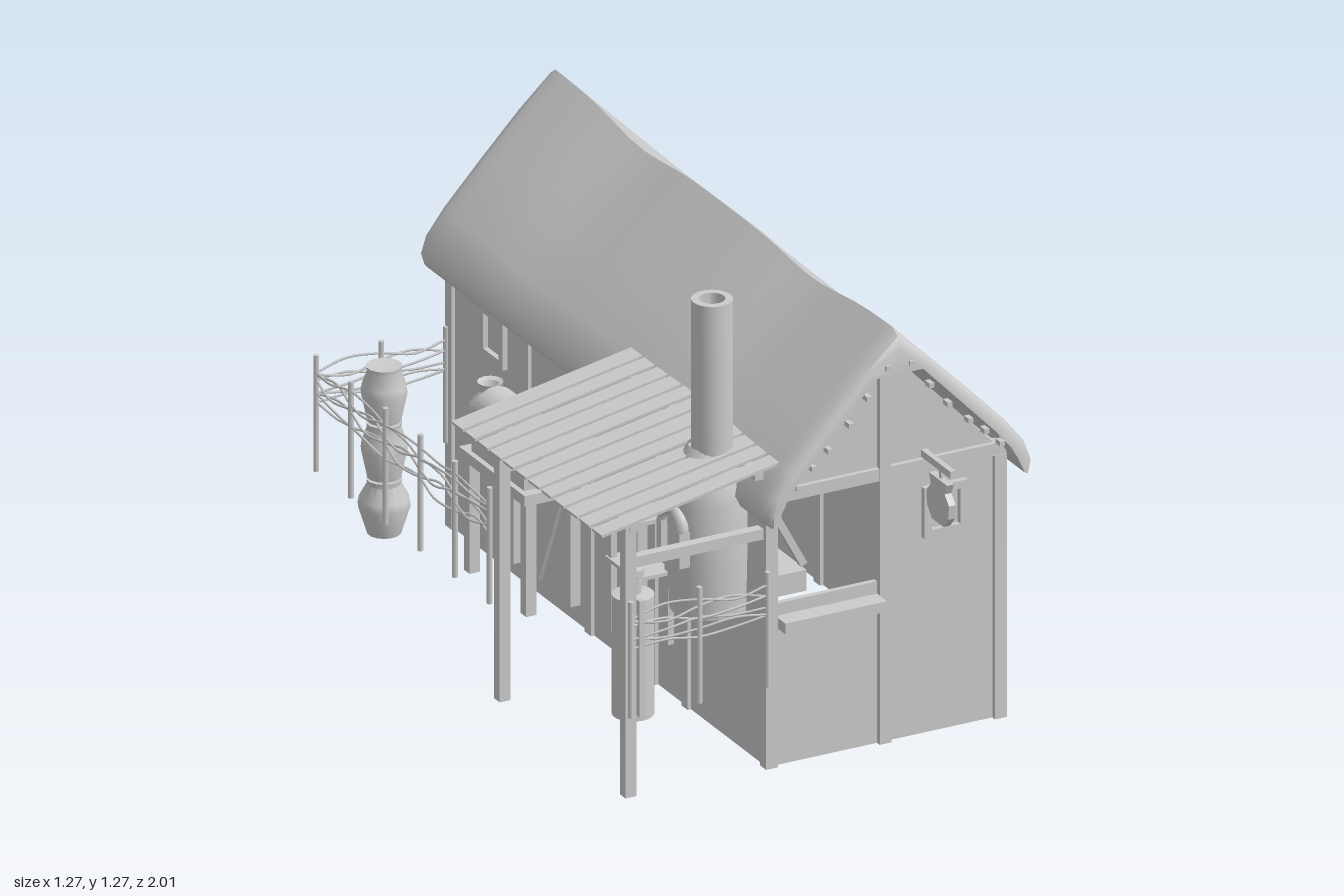
import * as THREE from 'three';
import { toCreasedNormals } from 'three/addons/utils/BufferGeometryUtils.js';

const mat = new THREE.MeshStandardMaterial({ color: 0xcccccc, side: THREE.DoubleSide });
const V = (x, y, z) => new THREE.Vector3(x, y, z);

export function createModel() {
  const root = new THREE.Group();
  const add = (name, geo, x = 0, y = 0, z = 0) => {
    const m = new THREE.Mesh(geo, mat);
    m.name = name;
    m.position.set(x, y, z);
    root.add(m);
    return m;
  };
  // box given by its limits on each axis
  const box = (name, x0, x1, y0, y1, z0, z1) =>
    add(name, new THREE.BoxGeometry(x1 - x0, y1 - y0, z1 - z0), (x0 + x1) / 2, (y0 + y1) / 2, (z0 + z1) / 2);
  // square timber between two points
  const beam = (name, a, b, t) => {
    const mid = a.clone().add(b).multiplyScalar(0.5);
    add(name, new THREE.BoxGeometry(t, t, a.distanceTo(b)), mid.x, mid.y, mid.z).lookAt(b);
  };
  const lathe = (name, pts, x, z, sides = 24) =>
    add(name, toCreasedNormals(new THREE.LatheGeometry(pts.map(p => new THREE.Vector2(...p)), sides), 0.7), x, 0, z);
  const polygon = pts => new THREE.Shape(pts.map(p => new THREE.Vector2(...p)));
  const extrude = (shape, depth) => new THREE.ExtrudeGeometry(shape, { depth, bevelEnabled: false, curveSegments: 16 });
  const rectHole = (x0, x1, y0, y1) => polygon([[x0, y0], [x0, y1], [x1, y1], [x1, y0]]);

  // gable walls, the front one with a serving hatch
  const gable = () => polygon([[-0.135, 0], [0.555, 0], [0.555, 0.76], [0.23, 1.1], [0.19, 1.1], [-0.135, 0.76]]);
  add('backWall', extrude(gable(), 0.015), 0, 0, -0.9);
  const front = gable();
  front.holes.push(rectHole(-0.11, 0.19, 0.46, 0.75));
  add('frontWall', extrude(front, 0.015), 0, 0, 0.82);

  // side walls
  for (const x of [-0.135, 0.54]) box('sideWall', x, x + 0.015, 0, 0.77, -0.9, 0.83);

  // timber frame
  for (const x of [-0.145, 0.53])
    for (const z of [-0.91, -0.49, -0.145, 0.205, 0.385, 0.815])
      box('wallPost', x, x + 0.035, 0, 0.75, z, z + 0.035);
  box('frontCentrePost', 0.19, 0.225, 0, 1.1, 0.82, 0.85);
  box('frontTieBeam', -0.145, 0.565, 0.75, 0.785, 0.815, 0.848);
  box('backTieBeam', -0.13, 0.55, 0.75, 0.785, -0.905, -0.87);
  box('hatchSill', -0.11, 0.19, 0.395, 0.425, 0.83, 0.89);
  beam('sideBrace', V(-0.132, 0.05, -0.41), V(-0.132, 0.72, -0.11), 0.028);

  // inner counter with its end panel and brace
  box('counter', -0.13, 0, 0.46, 0.52, -0.2, 0.8);
  box('counterEnd', -0.12, 0, 0.52, 0.75, -0.2, -0.18);
  beam('counterBrace', V(-0.11, 0.735, 0.78), V(0, 0.53, 0.78), 0.02);

  // square windows: a frame around a smaller inset frame
  const windowAt = (x, y, z, turn) => {
    const s = polygon([[-0.064, -0.072], [0.064, -0.072], [0.064, 0.072], [-0.064, 0.072]]);
    s.holes.push(rectHole(-0.042, 0.042, -0.05, 0.05));
    const m = add('windowFrame', extrude(s, 0.018), x, y, z);
    m.rotation.y = turn;
    const p = add('windowPane', new THREE.BoxGeometry(0.09, 0.105, 0.006), x, y, z);
    p.rotation.y = turn;
  };
  windowAt(0.385, 0.63, 0.833, 0);
  for (const z of [0.63, -0.3]) windowAt(0.552, 0.64, z, Math.PI / 2);
  for (const z of [-0.65, 0.3]) windowAt(-0.132, 0.64, z, -Math.PI / 2);

  // thatched roof: one cross-section swept along z, thinned at both ends
  const outerHalf = [[0, 1.2], [0.1, 1.1], [0.22, 0.98], [0.33, 0.865], [0.385, 0.795], [0.4, 0.745], [0.385, 0.715]];
  const innerHalf = [[0, 1.08], [0.07, 1.08], [0.18, 0.965], [0.28, 0.86], [0.33, 0.8], [0.35, 0.765], [0.37, 0.72]];
  const both = half => [...half.slice(1).reverse().map(([d, y]) => [0.21 - 0.975 * d, y]), ...half.map(([d, y]) => [0.21 + d, y])];
  const outer = both(outerHalf), inner = both(innerHalf), n = outer.length;
  const bump = (z, c, w) => Math.exp(-(((z - c) / w) ** 2));
  const stations = [[-1, 0.6], [-0.99, 0.85], [-0.965, 1]];
  for (let i = 0; i <= 20; i++) stations.push([-0.92 + i * 0.0885, 1]);
  stations.push([0.885, 1], [0.91, 0.85], [0.92, 0.6]);
  const pos = [], idx = [];
  const ring = 2 * n;
  for (const [z, t] of stations) {
    const sag = -0.028 * bump(z, 0.45, 0.2) - 0.033 * bump(z, -0.5, 0.2) - 0.016 * bump(z, 0, 0.5);
    const put = (x, y) => pos.push(x + (x > 0.21 ? 0.028 * bump(z, -0.5, 0.17) * (x - 0.21) / 0.4 : 0), y + sag * (y - 0.71) / 0.49, z);
    outer.forEach(([x, y], i) => put(inner[i][0] + (x - inner[i][0]) * t, inner[i][1] + (y - inner[i][1]) * t));
    for (let i = n - 1; i >= 0; i--) put(...inner[i]);
  }
  const quad = (a, b, c, d) => idx.push(a, b, c, a, c, d);
  for (let s = 0; s < stations.length - 1; s++)
    for (let i = 0; i < ring; i++) {
      const a = s * ring + i, b = s * ring + (i + 1) % ring;
      quad(a, a + ring, b + ring, b);
    }
  const last = (stations.length - 1) * ring;
  for (let i = 0; i < n - 1; i++) {
    quad(i, i + 1, ring - 2 - i, ring - 1 - i);
    quad(last + i, last + ring - 1 - i, last + ring - 2 - i, last + i + 1);
  }
  const roof = new THREE.BufferGeometry();
  roof.setAttribute('position', new THREE.Float32BufferAttribute(pos, 3));
  roof.setIndex(idx);
  add('thatchedRoof', toCreasedNormals(roof, 0.9));

  // pegs along both verges
  for (const z of [-0.995, 0.915])
    for (const side of [-1, 1])
      for (const [d, y] of [[0.035, 1.105], [0.092, 1.03], [0.145, 0.965], [0.207, 0.905], [0.254, 0.865], [0.3, 0.82]])
        add('vergePeg', new THREE.BoxGeometry(0.014, 0.014, 0.025), 0.21 + side * d, y, z);

  // hanging jug sign, flat in the plane of its bracket
  box('signBracket', 0.317, 0.333, 0.79, 0.81, 0.84, 1);
  box('signHanger', 0.322, 0.328, 0.755, 0.79, 0.93, 0.94);
  const jug = polygon([[0.035, 0.64], [0.06, 0.67], [0.065, 0.71], [0.04, 0.735], [0.05, 0.765],
    [-0.05, 0.765], [-0.035, 0.735], [-0.06, 0.71], [-0.055, 0.67], [-0.03, 0.64]]);
  add('jugSign', extrude(jug, 0.02), 0.315, 0, 0.94).rotation.y = Math.PI / 2;
  root.children.at(-1).position.set(0.315, 0, 0.937);

  // lean-to: sloping planks on two posts
  const slope = Math.atan2(0.1, 0.54);
  for (let i = 0; i < 12; i++) {
    const m = add('leanToPlank', new THREE.BoxGeometry(0.55, 0.008, i % 3 ? 0.054 : 0.06), -0.36, 0.818, 0.06 + i * 0.0695);
    m.rotation.z = slope;
  }
  for (const x of [-0.53, -0.16])
    beam('leanToPurlin', V(x, 0.818 + (x + 0.36) * 0.185 - 0.018, 0.04), V(x, 0.818 + (x + 0.36) * 0.185 - 0.018, 0.84), 0.025);
  for (const z of [0.13, 0.82]) {
    box('leanToPost', -0.552, -0.52, 0, 0.78, z - 0.016, z + 0.016);
    box('leanToTie', -0.52, -0.145, 0.65, 0.68, z - 0.014, z + 0.014);
  }

  // furnace with a hollow chimney and an arched mouth
  lathe('furnace', [[0, 0.4], [0.105, 0.4], [0.11, 0.55], [0.112, 0.72], [0.1, 0.78], [0.08, 0.82], [0.056, 0.86]], -0.2, 0.64);
  lathe('chimney', [[0.055, 0.84], [0.055, 1.275], [0.035, 1.275], [0.035, 1.1], [0, 1.1]], -0.197, 0.65);
  add('furnaceArch', new THREE.TorusGeometry(0.05, 0.018, 8, 16, Math.PI), -0.307, 0.65, 0.64).rotation.y = Math.PI / 2;
  for (const s of [-1, 1]) box('furnaceJamb', -0.322, -0.29, 0.55, 0.65, 0.627 + s * 0.05, 0.653 + s * 0.05);

  // domed oven on a legged table
  box('ovenTable', -0.33, -0.15, 0.4, 0.43, -0.49, -0.13);
  const arch = polygon([[-0.068, 0.43], [0.068, 0.43], [0.068, 0.53]]);
  arch.absarc(0, 0.53, 0.068, 0, Math.PI, false);
  add('ovenDome', toCreasedNormals(extrude(arch, 0.29), 0.6), -0.247, 0, -0.45);
  for (const z of [-0.465, -0.155]) {
    box('ovenTableLeg', -0.32, -0.29, 0.08, 0.4, z - 0.015, z + 0.015);
    box('ovenTableLeg', -0.19, -0.16, 0.08, 0.4, z - 0.015, z + 0.015);
  }

  // small workbench with slats and a lower shelf
  for (let i = 0; i < 5; i++) box('benchSlat', -0.26, -0.15, 0.515, 0.527, 0.18 + i * 0.036, 0.205 + i * 0.036);
  box('benchShelf', -0.26, -0.15, 0.36, 0.37, 0.18, 0.35);
  for (const x of [-0.255, -0.165])
    for (const z of [0.185, 0.33]) box('benchLeg', x, x + 0.018, 0.16, 0.515, z, z + 0.018);

  // stacked pots, a wide jar and a tall canister
  [0.09, 0.25, 0.41].forEach((y, i) => {
    const r = i ? 0.062 : 0.07;
    lathe('stackedPot', [[0, y], [0.045, y], [r, y + 0.08], [r * 0.95, y + 0.1], [0.045, y + 0.14], [0.048, y + 0.155], [0, y + 0.15]], -0.4, -0.77, 14);
  });
  lathe('wideJar', [[0, 0.4], [0.03, 0.4], [0.058, 0.46], [0.055, 0.5], [0.025, 0.53], [0.035, 0.56], [0.022, 0.555]], -0.2, -0.56, 12);
  lathe('canister', [[0, 0.17], [0.056, 0.17], [0.056, 0.51], [0.022, 0.515], [0.022, 0.56], [0.03, 0.565], [0.03, 0.585], [0, 0.59]], -0.457, 0.7);

  // wattle fences: pickets with wavy woven rods
  const fence = (a, b, pickets) => {
    const along = b.clone().sub(a), across = V(-along.z, 0, along.x).normalize();
    for (let i = 0; i <= pickets; i++) {
      const p = a.clone().addScaledVector(along, i / pickets);
      add('picket', new THREE.CylinderGeometry(0.008, 0.008, 0.33, 8), p.x, 0.405, p.z);
    }
    for (let k = 0; k < 6; k++) {
      const pts = [];
      for (let i = 0; i <= pickets * 2; i++)
        pts.push(a.clone().addScaledVector(along, i / (pickets * 2))
          .addScaledVector(across, 0.01 * Math.sin(i * Math.PI / 2 + k * Math.PI))
          .setY(0.435 + k * 0.019 + 0.012 * Math.sin(i * 1.9 + k * 2.3)));
      add('wovenRod', new THREE.TubeGeometry(new THREE.CatmullRomCurve3(pts), pickets * 8, 0.0035, 5));
    }
  };
  fence(V(-0.55, 0, 0.862), V(-0.147, 0, 0.862), 2);
  fence(V(-0.53, 0, 0.05), V(-0.53, 0, -0.9), 5);
  fence(V(-0.53, 0, -0.9), V(-0.147, 0, -0.9), 2);
  box('frontPicket', -0.53, -0.515, 0.24, 0.57, 0.855, 0.87);

  return root;
}
